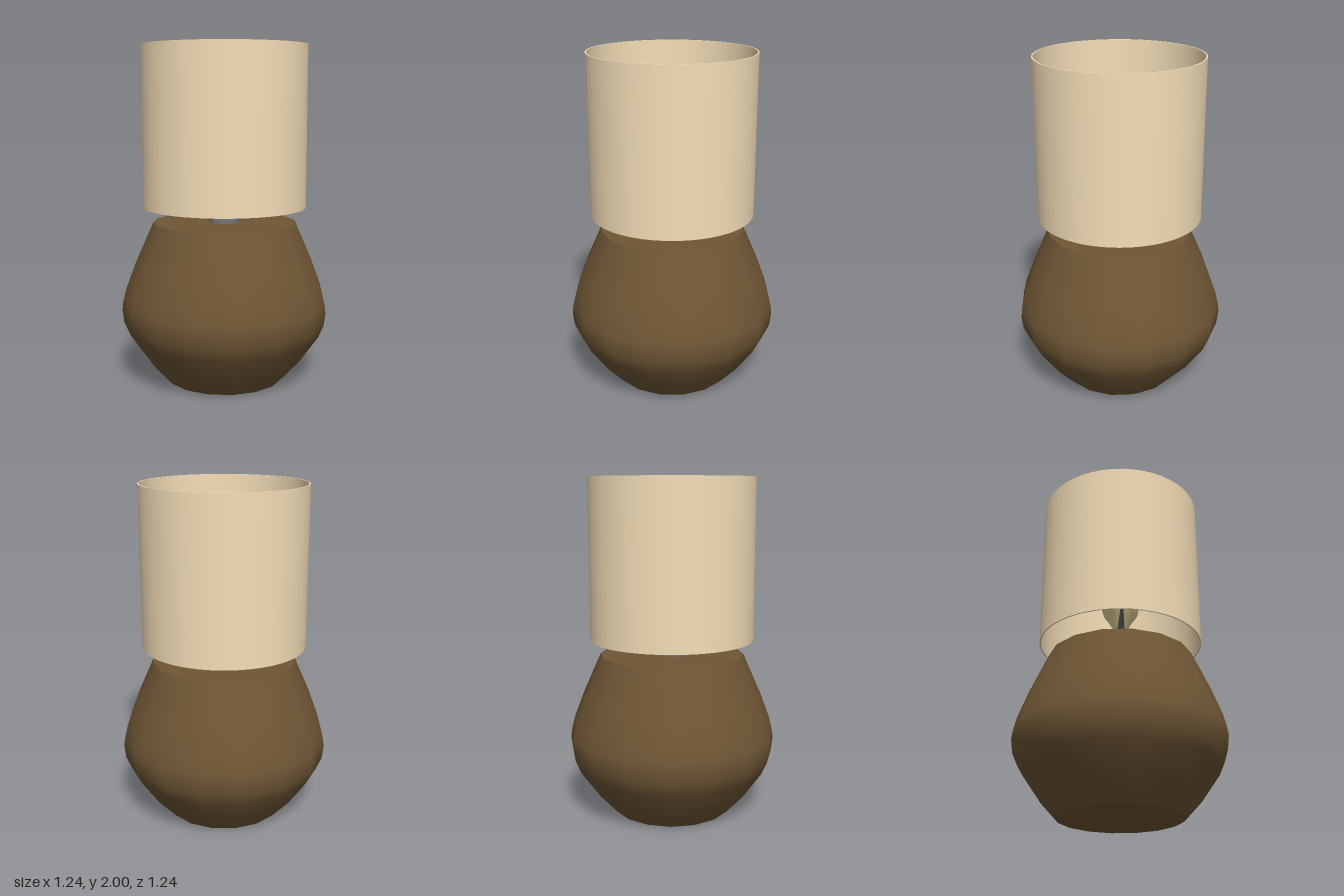
import * as THREE from 'three';

const mat = (color, side = THREE.FrontSide) => new THREE.MeshStandardMaterial({ color, side });
const brown = mat(0x6f5635);
const linen = mat(0xf5deb8, THREE.DoubleSide);
const glass = mat(0xf0dca0);
const metal = mat(0x77777a);

function add(parent, name, geometry, material) {
  const mesh = new THREE.Mesh(geometry, material);
  mesh.name = name;
  parent.add(mesh);
  return mesh;
}

// Smooth surface of revolution from [radius, height] pairs, bottom to top
const lathe = (points, sides) =>
  new THREE.LatheGeometry(points.map(([r, y]) => new THREE.Vector2(r, y)), sides);

// Flat end disc whose corners line up with a lathe of the same side count
function disc(radius, y, sides, up) {
  const g = new THREE.CircleGeometry(radius, sides);
  g.rotateX(up ? -Math.PI / 2 : Math.PI / 2);
  return g.translate(0, y, 0);
}

// Bar along +x that tapers and rises towards the shade
function armGeometry() {
  const x0 = 0.04, x1 = 0.482;
  const g = new THREE.BoxGeometry(1, 1, 1);
  const p = g.attributes.position;
  const mix = THREE.MathUtils.lerp;
  for (let i = 0; i < p.count; i++) {
    const t = p.getX(i) + 0.5;
    p.setXYZ(i,
      mix(x0, x1, t),
      mix(1.045, 1.06, t) + p.getY(i) * mix(0.034, 0.012, t),
      p.getZ(i) * mix(0.062, 0.014, t));
  }
  g.computeVertexNormals();
  return g;
}

export function createModel() {
  const model = new THREE.Group();
  model.name = 'tableLamp';

  // Faceted, smooth-shaded pot
  const base = new THREE.Group();
  base.name = 'base';
  model.add(base);
  add(base, 'baseBody', lathe([
    [0.36, 0], [0.465, 0.115], [0.577, 0.275], [0.61, 0.35], [0.62, 0.43],
    [0.615, 0.475], [0.595, 0.56], [0.535, 0.72], [0.43, 0.957],
  ], 16), brown);
  add(base, 'baseTop', disc(0.43, 0.957, 16, true), brown);
  add(base, 'baseBottom', disc(0.36, 0, 16, false), brown);

  // Collar, shoulder and lamp holder
  const socket = new THREE.Group();
  socket.name = 'socket';
  model.add(socket);
  add(socket, 'collar', new THREE.CylinderGeometry(0.094, 0.094, 0.05, 16), metal).position.y = 0.975;
  add(socket, 'shoulder', new THREE.CylinderGeometry(0.05, 0.094, 0.035, 16), metal).position.y = 1.0175;
  add(socket, 'holder', new THREE.CylinderGeometry(0.04, 0.05, 0.115, 16), metal).position.y = 1.0925;

  // Pear-shaped bulb: tapered neck running into a round top
  const profile = [[0.034, 1.145], [0.045, 1.17], [0.075, 1.22]];
  for (let i = 0; i <= 12; i++) {
    const a = THREE.MathUtils.lerp(-0.5, Math.PI / 2, i / 12);
    profile.push([Math.max(0, 0.114 * Math.cos(a)), 1.31 + 0.114 * Math.sin(a)]);
  }
  add(model, 'bulb', lathe(profile, 32), glass);

  // Three arms carrying the shade
  for (let i = 0; i < 3; i++) {
    add(model, 'shadeArm', armGeometry(), metal).rotation.y = i * Math.PI * 2 / 3;
  }

  // Open drum shade with a thin wall
  const shade = new THREE.Group();
  shade.name = 'shade';
  model.add(shade);
  const outer = 0.487, inner = 0.479, bottom = 1.05, top = 2;
  add(shade, 'shadeOutside', lathe([[outer, bottom], [outer, top]], 48), linen);
  add(shade, 'shadeInside', lathe([[inner, top], [inner, bottom]], 48), linen);
  for (const [name, y] of [['shadeTopRim', top], ['shadeBottomRim', bottom]]) {
    const rim = new THREE.RingGeometry(inner, outer, 48);
    rim.rotateX(y === top ? -Math.PI / 2 : Math.PI / 2).translate(0, y, 0);
    add(shade, name, rim, linen);
  }

  return model;
}
